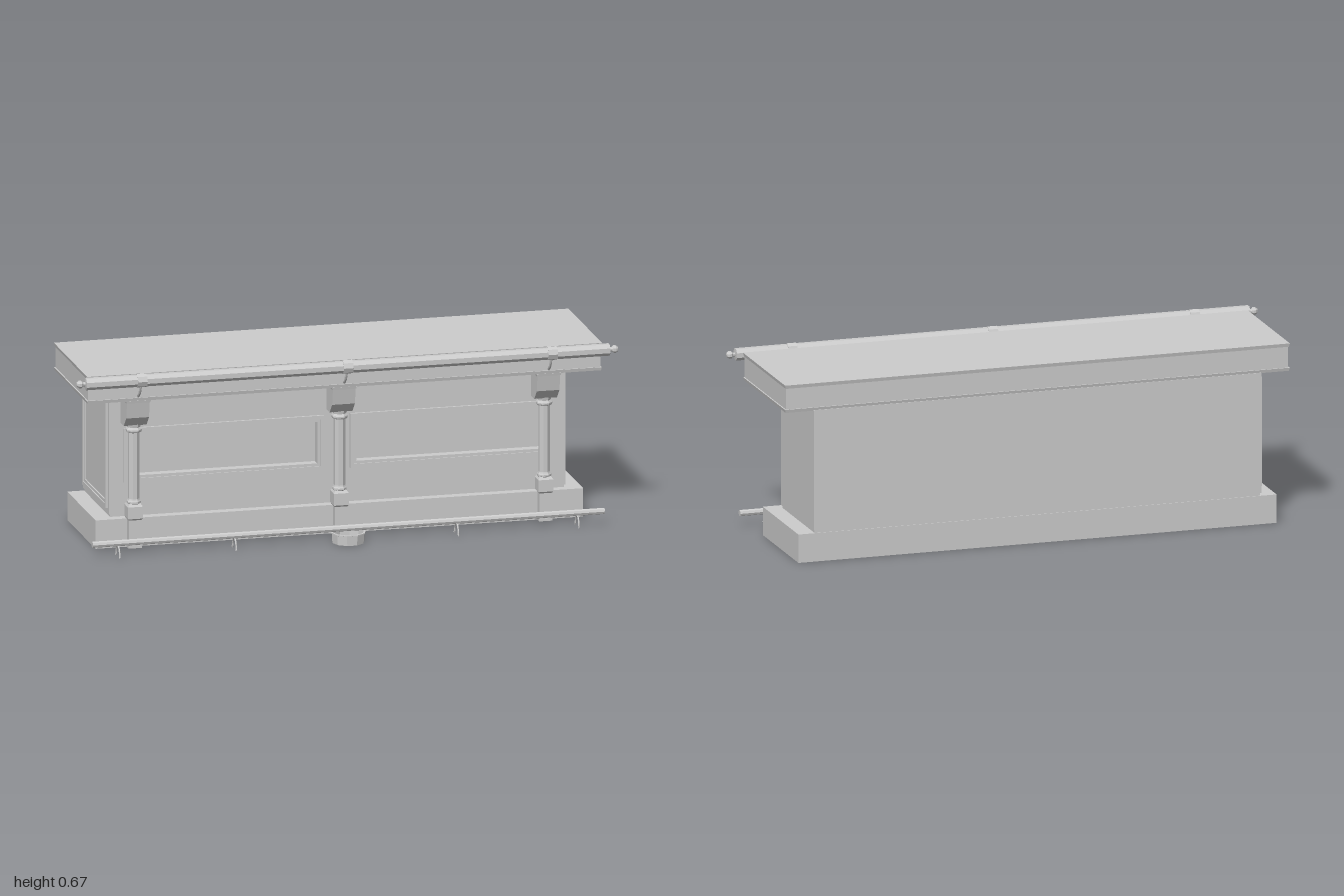
import * as THREE from 'three';

const mat = new THREE.MeshStandardMaterial({ color: 0xcccccc, flatShading: true });
const matDouble = new THREE.MeshStandardMaterial({ color: 0xcccccc, flatShading: true, side: THREE.DoubleSide });

function add(parent, name, geometry, x = 0, y = 0, z = 0, material = mat) {
  const mesh = new THREE.Mesh(geometry, material);
  mesh.name = name;
  mesh.position.set(x, y, z);
  parent.add(mesh);
  return mesh;
}

// Box given by its limits on each axis; the lower face may be drawn in by "taper"
function slab(parent, name, [x0, x1], [y0, y1], [z0, z1], taper = 0) {
  const g = new THREE.BoxGeometry(x1 - x0, y1 - y0, z1 - z0);
  const p = g.attributes.position;
  for (let i = 0; i < p.count; i++) {
    if (p.getY(i) < 0) {
      p.setX(i, p.getX(i) - Math.sign(p.getX(i)) * taper);
      p.setZ(i, p.getZ(i) - Math.sign(p.getZ(i)) * taper);
    }
  }
  return add(parent, name, g, (x0 + x1) / 2, (y0 + y1) / 2, (z0 + z1) / 2);
}

// Turned part whose profile gives half-widths across the flats
function turned(profile, sides) {
  const k = 1 / Math.cos(Math.PI / sides);
  const pts = profile.map(([r, y]) => new THREE.Vector2(r * k, y));
  return new THREE.LatheGeometry(pts, sides).rotateY(Math.PI / sides);
}

function rectPath(Type, x0, x1, y0, y1) {
  const path = new Type();
  path.moveTo(x0, y0);
  path.lineTo(x1, y0);
  path.lineTo(x1, y1);
  path.lineTo(x0, y1);
  path.closePath();
  return path;
}

// Flat plate with rectangular openings, thickness towards +z
function plate(outer, holes, depth) {
  const shape = rectPath(THREE.Shape, ...outer);
  for (const h of holes) shape.holes.push(rectPath(THREE.Path, ...h));
  return new THREE.ExtrudeGeometry(shape, { depth, bevelEnabled: false });
}

// Two-step picture-frame moulding
function moulding(x0, x1, y0, y1, name) {
  const group = new THREE.Group();
  group.name = name;
  const inset = (d) => [x0 + d, x1 - d, y0 + d, y1 - d];
  add(group, 'outerMoulding', plate(inset(0), [inset(0.014)], 0.009));
  add(group, 'innerMoulding', plate(inset(0.014), [inset(0.024)], 0.005));
  return group;
}

function createColumn(x) {
  const column = new THREE.Group();
  column.name = 'column';
  column.position.set(x, 0, 0.1125);
  slab(column, 'columnFoot', [-0.023, 0.023], [0, 0.105], [-0.023, 0.0225]);
  slab(column, 'columnPlinth', [-0.025, 0.025], [0, 0.01], [-0.023, 0.025]);
  add(column, 'columnBlock', turned([
    [0, 0.103], [0.023, 0.103], [0.0275, 0.109], [0.0275, 0.153], [0.021, 0.163], [0, 0.163],
  ], 4));
  add(column, 'columnShaft', turned([
    [0, 0.16], [0.021, 0.16], [0.024, 0.164], [0.024, 0.17], [0.021, 0.175], [0.0195, 0.18],
    [0.0195, 0.425], [0.025, 0.427], [0.0275, 0.432], [0.0275, 0.437], [0.024, 0.442],
    [0.022, 0.445], [0.024, 0.457], [0, 0.457],
  ], 8));

  // Corbel profile drawn as (z, y) and extruded across the width
  const s = new THREE.Shape([
    [-0.023, 0.455], [0.022, 0.455], [0.058, 0.492], [0.069, 0.55], [-0.023, 0.55],
  ].map(([z, y]) => new THREE.Vector2(z, y)));
  const g = new THREE.ExtrudeGeometry(s, { depth: 0.084, bevelEnabled: false });
  g.translate(0, 0, -0.042).rotateY(-Math.PI / 2);
  add(column, 'corbel', g);
  slab(column, 'corbelCap', [-0.046, 0.046], [0.55, 0.559], [-0.023, 0.072], 0.002);
  return column;
}

function tube(points, radius) {
  const curve = new THREE.CatmullRomCurve3(points.map(([z, y]) => new THREE.Vector3(0, y, z)));
  return new THREE.TubeGeometry(curve, 10, radius, 6);
}

export function createModel() {
  const model = new THREE.Group();
  model.name = 'barCounter';

  // Base and cabinet
  slab(model, 'base', [-0.9, 0.9], [0, 0.105], [-0.3, 0.11]);
  slab(model, 'baseTrim', [-0.838, 0.838], [0.105, 0.116], [-0.297, 0.075]);
  slab(model, 'cabinet', [-0.842, 0.842], [0.115, 0.56], [-0.3, 0.05]);
  const openings = [[-0.765, -0.075, 0.255, 0.408], [0.07, 0.755, 0.255, 0.408]];
  add(model, 'cabinetFront', plate([-0.842, 0.842, 0.115, 0.56], openings, 0.029), 0, 0, 0.05);

  // Panel mouldings on the front and on one end
  openings.forEach(([x0, x1, y0, y1]) => {
    const m = moulding(x0 - 0.024, x1 + 0.024, y0 - 0.024, y1 + 0.024, 'frontPanelMoulding');
    m.position.z = 0.079;
    model.add(m);
  });
  const endMoulding = moulding(-0.28, 0.06, 0.135, 0.54, 'endPanelMoulding');
  endMoulding.rotation.y = -Math.PI / 2;
  endMoulding.position.x = -0.842;
  model.add(endMoulding);

  // Counter top with upper and lower lips
  slab(model, 'lowerLip', [-0.95, 0.95], [0.558, 0.57], [-0.3, 0.186], 0.003);
  slab(model, 'counterApron', [-0.945, 0.945], [0.57, 0.647], [-0.295, 0.181]);
  slab(model, 'counterTop', [-0.95, 0.95], [0.647, 0.66], [-0.3, 0.186], 0.003);

  for (const x of [-0.76, 0, 0.755]) {
    model.add(createColumn(x));

    // Hand rail bracket
    const bracket = new THREE.Group();
    bracket.name = 'handRailBracket';
    bracket.position.x = x;
    add(bracket, 'bracketArm', tube([[0.178, 0.574], [0.197, 0.588], [0.21, 0.609], [0.218, 0.63]], 0.005));
    const collar = new THREE.CylinderGeometry(0.025, 0.025, 0.035, 8).rotateZ(Math.PI / 2);
    add(bracket, 'bracketCollar', collar, 0, 0.645, 0.225);
    model.add(bracket);
  }

  // Hand rail with turned ends
  const rail = [
    [0, -1], [0.008, -0.998], [0.013, -0.99], [0.013, -0.982], [0.007, -0.975], [0.007, -0.968],
    [0.021, -0.966],
  ];
  const railProfile = [...rail, ...rail.map(([r, y]) => [r, -y]).reverse()];
  add(model, 'handRail', turned(railProfile, 8).rotateZ(Math.PI / 2), 0, 0.645, 0.225);

  // Foot rail and its splayed legs
  const footRail = new THREE.CylinderGeometry(0.0115, 0.0115, 1.89, 8).rotateZ(Math.PI / 2);
  add(model, 'footRail', footRail, 0, 0.052, 0.24);
  for (const x of [-0.85, -0.42, 0.4, 0.845]) {
    const legs = new THREE.Group();
    legs.name = 'footRailLegs';
    legs.position.x = x;
    for (const s of [-1, 1]) {
      const path = [[0, 0.043], [0.014, 0.037], [0.024, 0.02], [0.028, 0.003], [0.034, 0.003]];
      add(legs, 'footRailLeg', tube(path.map(([z, y]) => [0.24 + s * z, y]), 0.003));
    }
    model.add(legs);
  }

  // Open bowl on the floor
  const bowl = [[0, 0], [0.056, 0], [0.058, 0.034], [0.061, 0.035], [0.061, 0.039], [0.054, 0.039], [0.052, 0.008], [0, 0.008]];
  add(model, 'floorBowl', turned(bowl, 10), 0, 0, 0.24, matDouble);

  return model;
}
